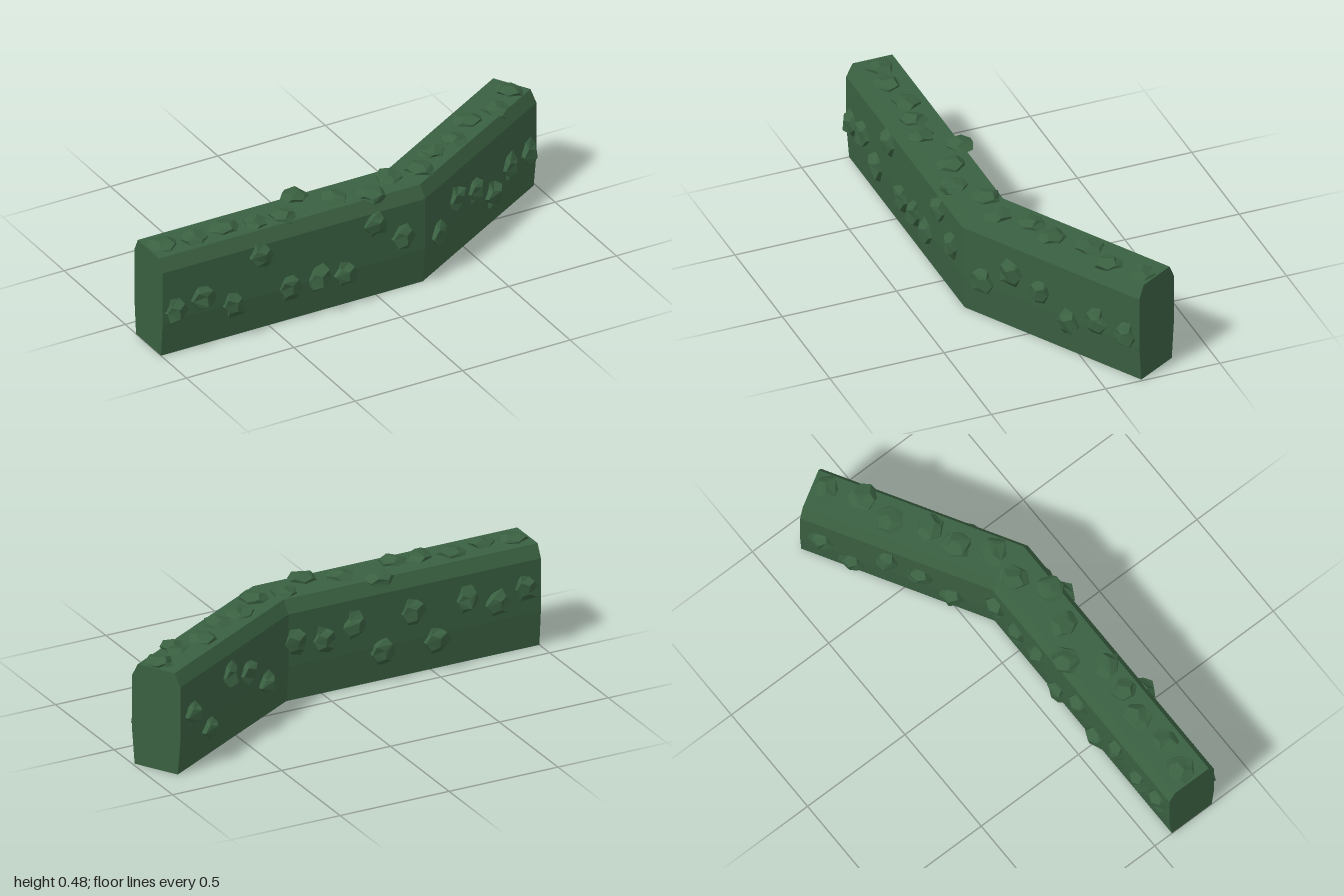
import * as THREE from 'three';

const leaf = new THREE.MeshStandardMaterial({ color: 0x3a6041 });
leaf.name = 'hedgeGreen';
leaf.flatShading = true;

// Centre line of the hedge on the ground, as (x, z)
const START = new THREE.Vector2(-1, 0.19);
const BEND = new THREE.Vector2(0.19, 0.19);
const END = new THREE.Vector2(0.94, -0.248);
const HALF = 0.115;
const dir = END.clone().sub(BEND).normalize();
const straightNormal = new THREE.Vector2(0, 1);
const armNormal = new THREE.Vector2(-dir.y, dir.x);

// Cross-section as (offset to the front, height), from back foot over the top to front foot
const SECTION = [
  [-0.102, 0], [-HALF, 0.157], [-HALF, 0.39], [-0.087, 0.446],
  [0.087, 0.446], [HALF, 0.39], [HALF, 0.157], [0.102, 0],
];

function hedgeGeometry() {
  const mitre = straightNormal.clone().add(armNormal).divideScalar(1 + straightNormal.dot(armNormal));
  const stations = [[START, straightNormal], [BEND, mitre], [END, armNormal]];
  const rings = stations.map(([c, n]) => SECTION.map(([w, y]) => [c.x + n.x * w, y, c.y + n.y * w]));
  const pos = [];
  const tri = (a, b, c) => pos.push(...a, ...b, ...c);
  const count = SECTION.length;
  for (let i = 0; i < 2; i++) {
    for (let k = 0; k < count; k++) {
      const j = (k + 1) % count;
      tri(rings[i][k], rings[i][j], rings[i + 1][j]);
      tri(rings[i][k], rings[i + 1][j], rings[i + 1][k]);
    }
  }
  // End caps
  for (let k = 1; k < count - 1; k++) {
    tri(rings[2][0], rings[2][k], rings[2][k + 1]);
    tri(rings[0][0], rings[0][k + 1], rings[0][k]);
  }
  const geo = new THREE.BufferGeometry();
  geo.setAttribute('position', new THREE.Float32BufferAttribute(pos, 3));
  geo.computeVertexNormals();
  return geo;
}

// Rough faceted leaf clump; shared corners move together
function clumpGeometry(seed) {
  const geo = new THREE.DodecahedronGeometry(1, 0);
  const p = geo.attributes.position;
  const v = new THREE.Vector3();
  for (let i = 0; i < p.count; i++) {
    v.fromBufferAttribute(p, i);
    const key = Math.round(v.x * 50) * 1.7 + Math.round(v.y * 50) * 2.9 + Math.round(v.z * 50) * 4.3;
    const h = Math.sin(key + seed * 12.9898) * 43758.5453;
    v.multiplyScalar(0.82 + 0.36 * (h - Math.floor(h)));
    p.setXYZ(i, v.x, v.y, v.z);
  }
  geo.computeVertexNormals();
  return geo;
}

// Clump positions: (x, y) on the sides, (x, z) on the top
const FRONT = [
  [-0.94, 0.2], [-0.81, 0.225], [-0.67, 0.155], [-0.54, 0.345], [-0.41, 0.16],
  [-0.275, 0.165], [-0.15, 0.15], [-0.01, 0.34], [0.12, 0.245], [0.315, 0.175],
  [0.437, 0.27], [0.565, 0.235], [0.69, 0.145], [0.81, 0.205], [0.94, 0.195],
];
const BACK = [
  [-0.93, 0.275], [-0.8, 0.235], [-0.66, 0.28], [-0.52, 0.13], [-0.41, 0.28],
  [-0.27, 0.13], [-0.145, 0.28], [0, 0.245], [0.13, 0.26], [0.31, 0.15],
  [0.43, 0.255], [0.555, 0.3], [0.685, 0.12], [0.8, 0.24],
];
const TOP = [
  [-0.93, 0.19], [-0.8, 0.21], [-0.65, 0.19], [-0.52, 0.22], [-0.395, 0.225],
  [-0.28, 0.11], [-0.15, 0.2], [0, 0.25], [0.13, 0.16], [0.27, 0.17],
  [0.385, 0.07], [0.51, 0.03], [0.635, -0.08], [0.78, -0.1], [0.9, -0.2],
];

export function createModel() {
  const model = new THREE.Group();
  model.name = 'hedge';

  const body = new THREE.Mesh(hedgeGeometry(), leaf);
  body.name = 'hedgeBody';
  model.add(body);

  let seed = 1;
  const addClump = (group, name, x, y, z, sx, sy, sz, turn) => {
    const clump = new THREE.Mesh(clumpGeometry(seed++), leaf);
    clump.name = name;
    clump.position.set(x, y, z);
    clump.scale.set(sx, sy, sz);
    clump.rotation.y = turn;
    group.add(clump);
  };

  // Side clumps sit half sunk in the front and back faces
  for (const [name, side, spots] of [['front', 1, FRONT], ['back', -1, BACK]]) {
    const group = new THREE.Group();
    group.name = name + 'Clumps';
    for (const [x, y] of spots) {
      const w = side * HALF;
      const onArm = x > BEND.x + side * 0.031;
      let z = BEND.y + w;
      if (onArm) {
        const t = (x - BEND.x - armNormal.x * w) / dir.x;
        z = BEND.y + dir.y * t + armNormal.y * w;
      }
      const turn = onArm ? Math.atan2(-dir.y, dir.x) : 0;
      addClump(group, name + 'Clump', x, y, z, 0.056, 0.058, 0.041, turn);
    }
    model.add(group);
  }

  // Flattened clumps along the top
  const topGroup = new THREE.Group();
  topGroup.name = 'topClumps';
  TOP.forEach(([x, z], i) => addClump(topGroup, 'topClump', x, 0.443, z, 0.064, 0.03, 0.06, i * 1.3));
  model.add(topGroup);

  return model;
}
